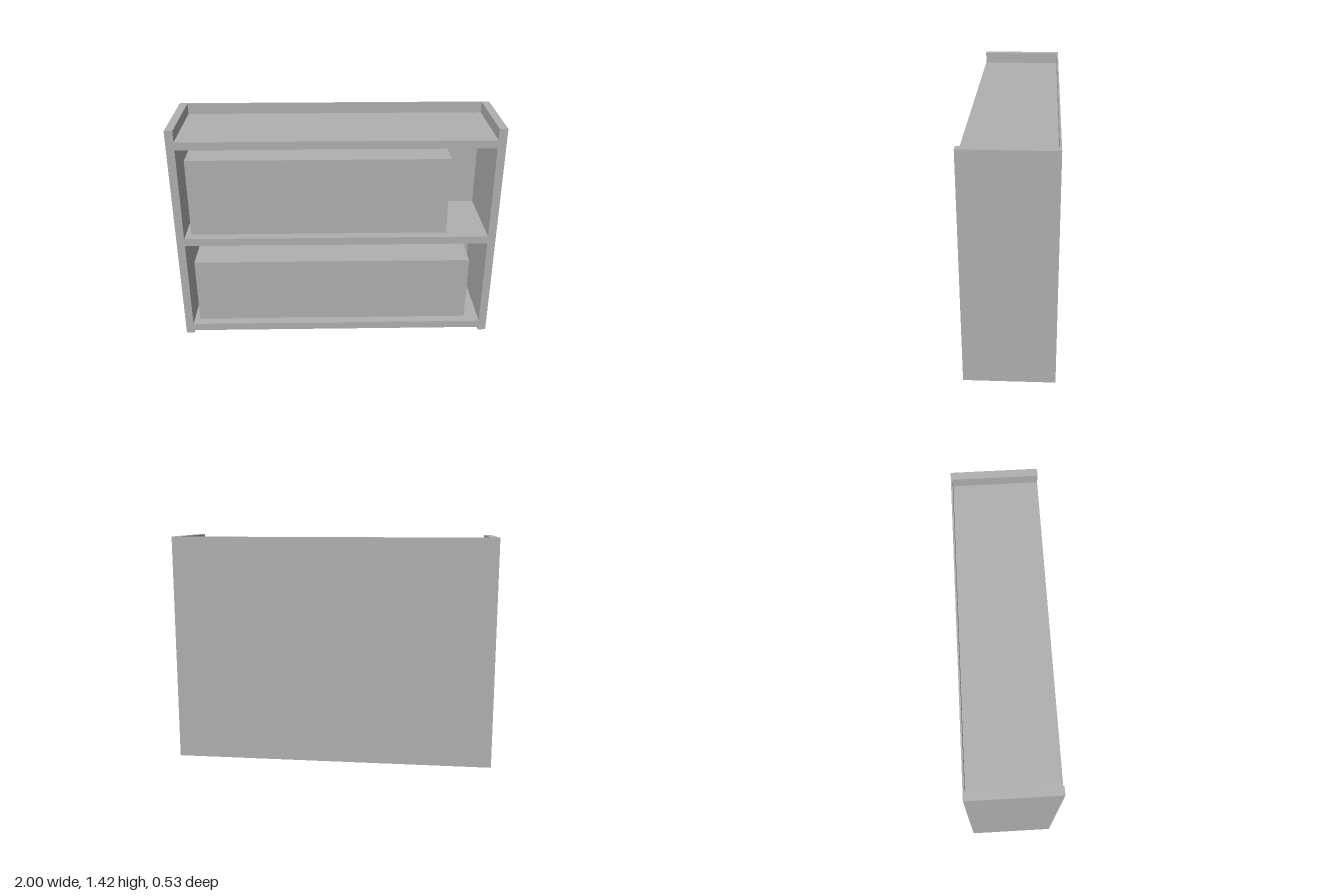
import * as THREE from 'three';

const W = 1, INNER = 0.95, H = 1.42, D = 0.265, BACK = -0.255;

export function createModel() {
  const group = new THREE.Group();
  const grey = new THREE.MeshStandardMaterial({ color: 0xb0b0b0 });
  grey.name = 'plain grey';
  grey.side = THREE.DoubleSide;

  // Box given by its limits; an open box has no underside.
  function box(name, x0, x1, y0, y1, z0, z1, open = false) {
    const geo = new THREE.BoxGeometry(x1 - x0, y1 - y0, z1 - z0);
    if (open) {
      const index = Array.from(geo.index.array);
      index.splice(18, 6);
      geo.setIndex(index);
      geo.clearGroups();
    }
    const mesh = new THREE.Mesh(geo, grey);
    mesh.name = name;
    mesh.position.set((x0 + x1) / 2, (y0 + y1) / 2, (z0 + z1) / 2);
    group.add(mesh);
  }

  // Hollow side panels, open at the floor
  box('leftSide', INNER, W, 0, H, -D, D, true);
  box('rightSide', -W, -INNER, 0, H, -D, D, true);

  // Thin back panel
  box('backPanel', -INNER, INNER, 0, H, -D, BACK);

  // Shelves; the lowest is a hollow tray without an underside
  box('bottomShelf', -INNER, INNER, 0.02, 0.07, BACK, D, true);
  box('middleShelf', -INNER, INNER, 0.66, 0.71, BACK, D);
  box('topShelf', -INNER, INNER, 1.3, 1.35, BACK, D);

  // Rows of books as plain blocks
  box('lowerBooks', -0.915, 0.86, 0.07, 0.505, -0.2, 0.205);
  box('upperBooks', -0.915, 0.695, 0.71, 1.21, -0.2, 0.205);

  return group;
}
